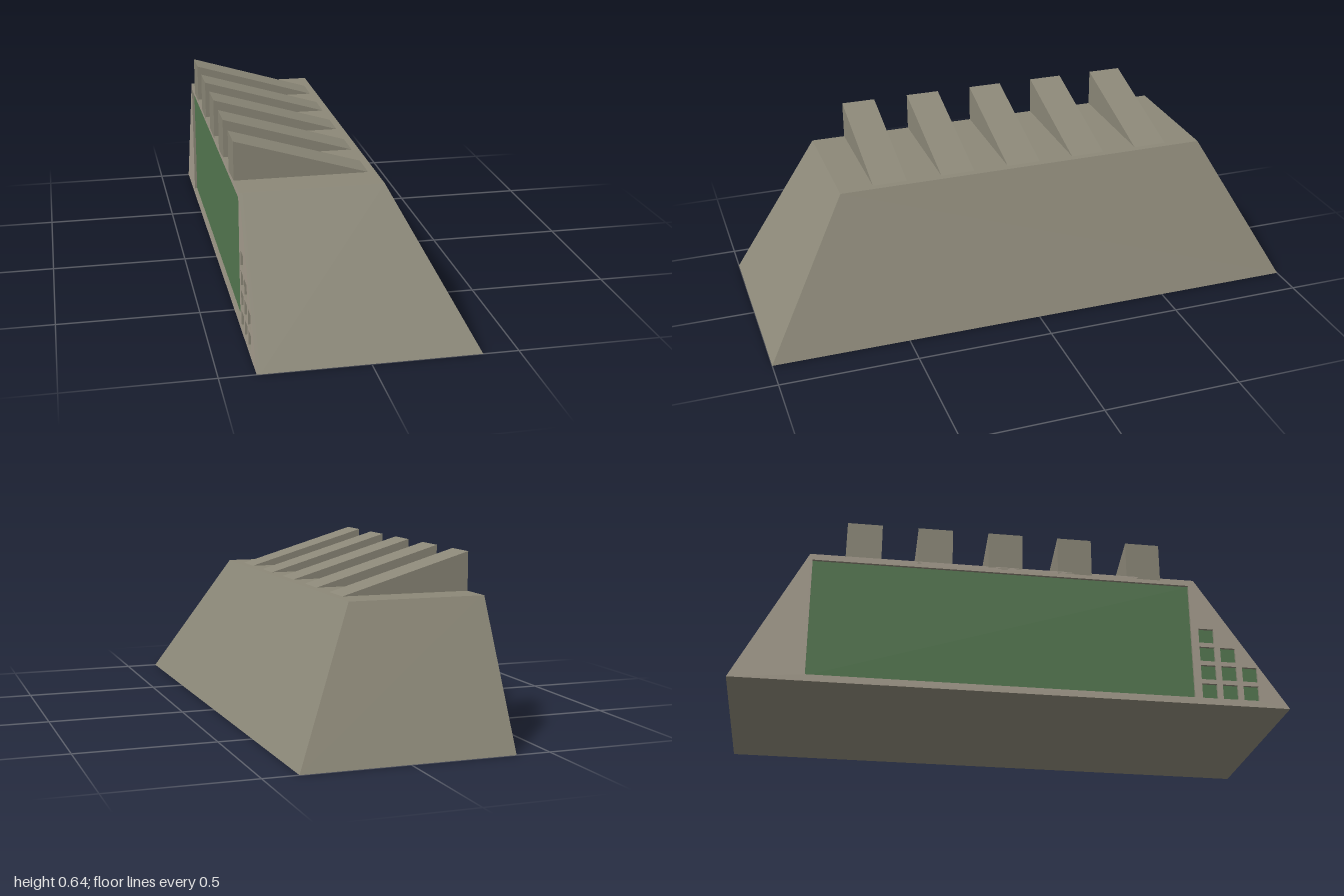
import * as THREE from 'three';
import { ConvexGeometry } from 'three/addons/geometries/ConvexGeometry.js';

const stone = new THREE.MeshStandardMaterial({ color: 0x8c8878, flatShading: true });
const wallMat = new THREE.MeshStandardMaterial({ color: 0xa89f90, flatShading: true });
const green = new THREE.MeshStandardMaterial({ color: 0x557951, flatShading: true });

const H = 0.498;        // height of the flat top
const WALL_X = -0.377;  // outer plane of the upright wall
const DEPTH = 0.012;    // recess depth of the panels
const INNER_X = WALL_X + DEPTH;

export function createModel() {
  const model = new THREE.Group();
  const add = (name, geometry, material) => {
    const mesh = new THREE.Mesh(geometry, material);
    mesh.name = name;
    model.add(mesh);
    return mesh;
  };

  // Sloped block: three slanted sides and one upright side
  const corners = [];
  for (const x of [INNER_X, 0.377])
    for (const z of [-1, 1]) corners.push(new THREE.Vector3(x, 0, z));
  for (const x of [INNER_X, 0.118])
    for (const z of [-0.745, 0.67]) corners.push(new THREE.Vector3(x, H, z));
  add('body', new ConvexGeometry(corners), stone);

  // Openings in the upright wall, as [z0, z1, y0, y1]
  const openings = [[-0.735, 0.65, 0.025, 0.475]];
  for (let col = 0; col < 3; col++)
    for (let row = 0; row < 4 - col; row++) {
      const z = 0.678 + col * 0.077, y = 0.025 + row * 0.073;
      openings.push([z, z + 0.056, y, y + 0.056]);
    }

  // Upright wall, a thin trapezoid pierced by the openings
  const wall = new THREE.Shape([[-1, 0], [1, 0], [0.67, H], [-0.745, H]].map(p => new THREE.Vector2(...p)));
  for (const [z0, z1, y0, y1] of openings)
    wall.holes.push(new THREE.Path([[z0, y0], [z0, y1], [z1, y1], [z1, y0]].map(p => new THREE.Vector2(...p))));
  const wallGeo = new THREE.ExtrudeGeometry(wall, { depth: DEPTH, bevelEnabled: false });
  wallGeo.rotateY(-Math.PI / 2).translate(INNER_X, 0, 0);
  add('uprightWall', wallGeo, [wallMat, stone]);

  // Green panels at the back of each opening
  openings.forEach(([z0, z1, y0, y1], i) => {
    const panel = add(i ? 'smallPanel' : 'largePanel', new THREE.BoxGeometry(0.004, y1 - y0, z1 - z0), green);
    panel.position.set(INNER_X, (y0 + y1) / 2, (z0 + z1) / 2);
  });

  // Five wedge ridges across the top, sinking into it at the slanted side
  const wedge = new THREE.Shape([[WALL_X, H - 0.008], [0.118, H - 0.008], [WALL_X, 0.637]].map(p => new THREE.Vector2(...p)));
  wedge.closePath();
  for (let i = 0; i < 5; i++) {
    const geo = new THREE.ExtrudeGeometry(wedge, { depth: 0.127, bevelEnabled: false });
    add('ridge', geo, stone).position.z = -0.617 + i * 0.2585;
  }
  return model;
}
